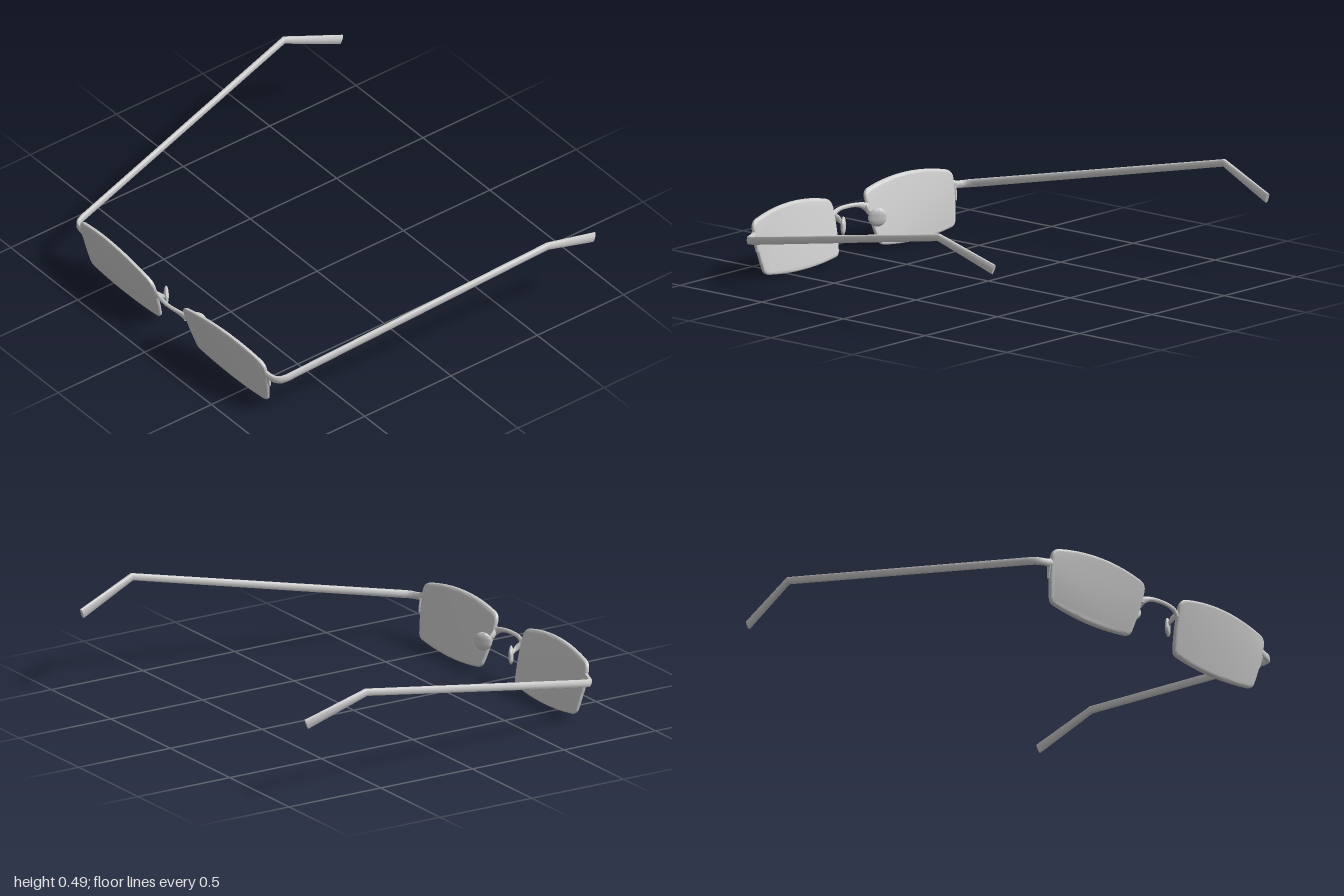
import * as THREE from 'three';
import { toCreasedNormals } from 'three/addons/utils/BufferGeometryUtils.js';

const material = new THREE.MeshStandardMaterial({ color: 0xcccccc, side: THREE.DoubleSide });

function addMesh(parent, name, geometry, crease = 0.7) {
  const mesh = new THREE.Mesh(toCreasedNormals(geometry, crease), material);
  mesh.name = name;
  parent.add(mesh);
  return mesh;
}

// Sweep an oval section along stations [x, y, z, width, height]; power < 1 squares the section.
function sweep(stations, sides = 12, power = 0.8) {
  const centres = stations.map(([x, y, z]) => new THREE.Vector3(x, y, z));
  const up = new THREE.Vector3(0, 1, 0);
  const positions = [], index = [];
  const bend = (v) => Math.sign(v) * Math.pow(Math.abs(v), power);
  stations.forEach(([, , , w, h], i) => {
    const tangent = new THREE.Vector3();
    if (i > 0) tangent.add(centres[i].clone().sub(centres[i - 1]).normalize());
    if (i < centres.length - 1) tangent.add(centres[i + 1].clone().sub(centres[i]).normalize());
    tangent.normalize();
    const across = up.clone().cross(tangent).normalize();
    const rise = tangent.clone().cross(across);
    for (let k = 0; k < sides; k++) {
      const a = (k / sides) * Math.PI * 2;
      const p = centres[i].clone()
        .addScaledVector(across, bend(Math.cos(a)) * w / 2)
        .addScaledVector(rise, bend(Math.sin(a)) * h / 2);
      positions.push(p.x, p.y, p.z);
    }
  });
  for (let i = 0; i < stations.length - 1; i++) {
    for (let k = 0; k < sides; k++) {
      const a = i * sides + k, b = i * sides + (k + 1) % sides;
      index.push(a, b, b + sides, a, b + sides, a + sides);
    }
  }
  // End caps
  const last = (stations.length - 1) * sides;
  for (let k = 1; k < sides - 1; k++) {
    index.push(0, k + 1, k, last, last + k, last + k + 1);
  }
  const geometry = new THREE.BufferGeometry();
  geometry.setAttribute('position', new THREE.Float32BufferAttribute(positions, 3));
  geometry.setIndex(index);
  return geometry;
}

// Rounded, arched lens with a soft edge, tilted back towards the bottom
function lensGeometry(s) {
  const shape = new THREE.Shape();
  shape.moveTo(s * 0.112, 0.235);
  shape.quadraticCurveTo(s * 0.113, 0.15, s * 0.135, 0.055);
  shape.quadraticCurveTo(s * 0.138, 0.024, s * 0.175, 0.02);
  shape.quadraticCurveTo(s * 0.4, -0.012, s * 0.625, 0.02);
  shape.quadraticCurveTo(s * 0.66, 0.024, s * 0.664, 0.055);
  shape.quadraticCurveTo(s * 0.688, 0.15, s * 0.69, 0.235);
  shape.quadraticCurveTo(s * 0.69, 0.272, s * 0.65, 0.282);
  shape.quadraticCurveTo(s * 0.4, 0.342, s * 0.15, 0.282);
  shape.quadraticCurveTo(s * 0.112, 0.272, s * 0.112, 0.235);
  const geometry = new THREE.ExtrudeGeometry(shape, {
    depth: 0.006, bevelEnabled: true, bevelThickness: 0.009,
    bevelSize: 0.014, bevelOffset: -0.014, bevelSegments: 4, curveSegments: 10,
  });
  const p = geometry.attributes.position;
  for (let i = 0; i < p.count; i++) {
    const slope = 0.29 - 0.18 * (Math.abs(p.getX(i)) - 0.15);
    p.setZ(i, p.getZ(i) + 0.782 + p.getY(i) * slope);
  }
  return geometry;
}

export function createModel() {
  const group = new THREE.Group();
  group.name = 'eyeglasses';

  // Bridge, thickening towards the lenses
  const bridge = [];
  for (let i = -8; i <= 8; i++) {
    const t = i / 8, e = t ** 4;
    bridge.push([t * 0.118, 0.217 - 0.02 * e, 0.87 - 0.026 * t * t, 0.018, 0.02 + 0.025 * e]);
  }
  addMesh(group, 'bridge', sweep(bridge, 12, 1));

  for (const s of [1, -1]) {
    const side = new THREE.Group();
    side.name = s > 0 ? 'leftSide' : 'rightSide';
    group.add(side);
    const path = (stations) => stations.map(([x, ...rest]) => [s * x, ...rest]);

    addMesh(side, 'lens', lensGeometry(s), 0.6);

    // Temple: hinge curve, long arm and dropped ear tip
    addMesh(side, 'temple', sweep(path([
      [0.675, 0.212, 0.827, 0.022, 0.036],
      [0.705, 0.204, 0.821, 0.022, 0.036],
      [0.735, 0.202, 0.812, 0.022, 0.036],
      [0.755, 0.204, 0.795, 0.022, 0.038],
      [0.765, 0.209, 0.765, 0.022, 0.038],
      [0.985, 0.475, -0.57, 0.026, 0.036],
      [0.944, 0.363, -0.87, 0.018, 0.05],
    ])));

    // Small bracket gripping the outer lens edge
    addMesh(side, 'lensBracket', sweep(path([
      [0.69, 0.2, 0.82, 0.018, 0.024],
      [0.687, 0.17, 0.812, 0.016, 0.022],
      [0.684, 0.135, 0.806, 0.012, 0.016],
    ]), 8, 1));

    // Wire holding the nose pad
    addMesh(side, 'nosePadArm', sweep(path([
      [0.113, 0.2, 0.848, 0.018, 0.034],
      [0.102, 0.185, 0.828, 0.014, 0.03],
      [0.104, 0.17, 0.806, 0.013, 0.02],
      [0.117, 0.162, 0.786, 0.012, 0.016],
    ]), 10, 1));

    // Nose pad
    const pad = addMesh(side, 'nosePad', new THREE.SphereGeometry(1, 20, 14).scale(0.044, 0.044, 0.012), 1);
    pad.position.set(s * 0.118, 0.16, 0.783);
    pad.rotation.y = s * 0.63;
  }
  return group;
}
